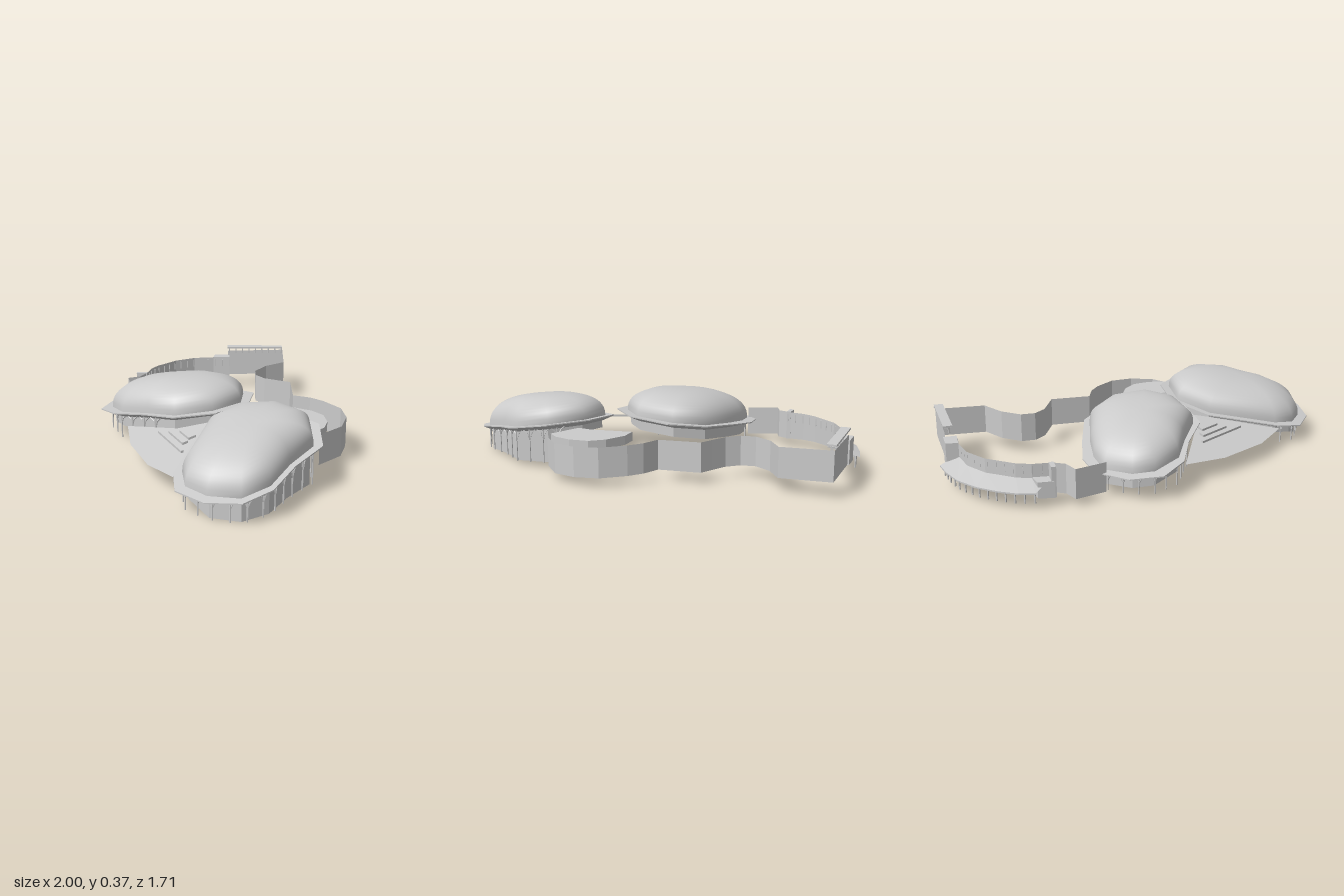
import * as THREE from 'three';

const smooth = new THREE.MeshStandardMaterial({ color: 0xcccccc, side: THREE.DoubleSide });
const flat = new THREE.MeshStandardMaterial({ color: 0xcccccc, side: THREE.DoubleSide, flatShading: true });

// Sloping ground and the two tilted eave planes
const ground = (x) => 0.003 + 0.045 * (x + 0.94);
const eaveA = (x) => 0.107 + 0.188 * (x + 1);
const eaveB = (x, z) => 0.228 + 0.14 * z;

function add(parent, name, geometry, material = flat) {
  const mesh = new THREE.Mesh(geometry, material);
  mesh.name = name;
  parent.add(mesh);
  return mesh;
}

// Skin a list of equally long loops of [x, y, z]
function loft(loops, closed = true) {
  const n = loops[0].length, index = [];
  for (let r = 0; r < loops.length - 1; r++) {
    for (let i = 0; i < (closed ? n : n - 1); i++) {
      const a = r * n + i, b = r * n + (i + 1) % n;
      index.push(a, a + n, b, b, a + n, b + n);
    }
  }
  const g = new THREE.BufferGeometry();
  g.setAttribute('position', new THREE.Float32BufferAttribute(loops.flat(2), 3));
  g.setIndex(index);
  g.computeVertexNormals();
  return g;
}

const lift = (pts, y) => pts.map(([x, z]) => [x, typeof y === 'function' ? y(x, z) : y, z]);

// Flat-sided vertical wall along a plan polyline
const wall = (pts, low, high, closed = false) => loft([lift(pts, high), lift(pts, low)], closed);

// Plan polygon turned into a sheet whose height follows a rule
function sheet(pts, y) {
  const g = new THREE.ShapeGeometry(new THREE.Shape(pts.map(([x, z]) => new THREE.Vector2(x, -z))));
  g.rotateX(-Math.PI / 2);
  const p = g.attributes.position;
  for (let i = 0; i < p.count; i++) p.setY(i, y(p.getX(i), p.getZ(i)));
  g.computeVertexNormals();
  return g;
}

function beam(parent, name, a, b, r, sides = 5) {
  const from = new THREE.Vector3(...a), to = new THREE.Vector3(...b);
  const dir = to.clone().sub(from);
  const mesh = add(parent, name, new THREE.CylinderGeometry(r, r, dir.length(), sides));
  mesh.position.copy(from).add(to).multiplyScalar(0.5);
  mesh.quaternion.setFromUnitVectors(new THREE.Vector3(0, 1, 0), dir.normalize());
}

// Evenly spaced plan points along a polyline
function spaced(pts, count, closed) {
  const path = new THREE.CurvePath();
  const ring = closed ? [...pts, pts[0]] : pts;
  for (let i = 0; i < ring.length - 1; i++)
    path.add(new THREE.LineCurve(new THREE.Vector2(...ring[i]), new THREE.Vector2(...ring[i + 1])));
  return Array.from({ length: count }, (_, i) => path.getPointAt(i / (closed ? count : count - 1)).toArray());
}

function inset(pts, k) {
  const n = pts.length;
  const cx = pts.reduce((s, p) => s + p[0], 0) / n, cz = pts.reduce((s, p) => s + p[1], 0) / n;
  return pts.map(([x, z]) => [cx + (x - cx) * k, cz + (z - cz) * k]);
}

// Domed hall: shell, flared eave, inner wall and arched colonnade on the open side
function hall(name, rim, base, eave, height, wallFoot, hasColumn) {
  const g = new THREE.Group();
  g.name = name;
  const rows = 14, loops = [], posts = 26;
  for (let r = 0; r <= rows; r++) {
    const t = (r / rows) * Math.PI / 2;
    const s = r === rows ? 0.001 : Math.cos(t) ** 0.83, h = height * Math.sin(t) ** 0.83;
    loops.push(inset(base, s).map(([x, z]) => [x, eave(x, z) + h, z]));
  }
  add(g, 'domeShell', loft(loops), smooth);
  const inner = inset(base, 0.95);
  const under = (x, z) => eave(x, z) - 0.03;
  add(g, 'eave', loft([lift(base, eave), lift(rim, eave), lift(rim, (x, z) => eave(x, z) - 0.006), lift(inner, under)]));
  add(g, 'hallWall', wall(inner, wallFoot, under, true));

  const feet = spaced(base, posts, true);
  feet.forEach(([x, z], i) => {
    if (!hasColumn(x, z)) return;
    const top = eave(x, z) - 0.018, low = ground(x);
    const spring = low + (top - low) * 0.6;
    beam(g, 'column', [x, low, z], [x, top, z], 0.004);
    for (const j of [i + 1, i + posts - 1]) {
      const [nx, nz] = feet[j % posts];
      const mx = (x + nx) / 2, mz = (z + nz) / 2;
      const qx = x * 0.7 + mx * 0.3, qz = z * 0.7 + mz * 0.3;
      const qy = spring + (top - spring) * 0.65;
      beam(g, 'archLower', [x, spring, z], [qx, qy, qz], 0.003, 4);
      beam(g, 'archUpper', [qx, qy, qz], [mx, eave(mx, mz) - 0.018, mz], 0.003, 4);
    }
  });
  return g;
}

export function createModel() {
  const model = new THREE.Group();

  // The two halls
  model.add(hall('frontHall',
    [[-0.98, 0.45], [-0.87, 0.35], [-0.48, 0.21], [-0.25, 0.27], [-0.13, 0.48], [-0.18, 0.72],
      [-0.36, 0.85], [-0.57, 0.83], [-0.78, 0.85], [-0.93, 0.79], [-1, 0.63]],
    [[-0.93, 0.47], [-0.84, 0.38], [-0.48, 0.25], [-0.28, 0.31], [-0.18, 0.49], [-0.22, 0.69],
      [-0.38, 0.81], [-0.57, 0.8], [-0.76, 0.82], [-0.9, 0.76], [-0.95, 0.61]],
    eaveA, 0.165, (x, z) => (z > 0.58 ? ground(x) : eaveA(x) - 0.07), (x, z) => z > 0.58 || x < -0.82));
  model.add(hall('backHall',
    [[-0.41, -0.56], [-0.25, -0.63], [-0.06, -0.6], [0.04, -0.49], [0.1, -0.32], [0.165, -0.09],
      [0.1, 0.13], [-0.11, 0.245], [-0.34, 0.2], [-0.47, 0.02], [-0.455, -0.2], [-0.475, -0.4]],
    [[-0.355, -0.525], [-0.25, -0.575], [-0.1, -0.565], [-0.01, -0.46], [0.055, -0.32], [0.13, -0.1],
      [0.07, 0.08], [-0.115, 0.195], [-0.305, 0.15], [-0.435, 0], [-0.43, -0.19], [-0.44, -0.37]],
    eaveB, 0.163, (x, z) => 0.145 + 0.15 * z, (x, z) => x + z < -0.55));

  // Sloping roof between the halls, with long skylights
  const link = (x, z) => 0.1 + 0.25 * (0.853 * x + 0.523 * z + 0.614);
  add(model, 'linkRoof', sheet([[-0.87, 0.35], [-0.8, 0.13], [-0.64, -0.13], [-0.465, -0.31],
    [-0.44, 0.02], [-0.33, 0.19], [-0.48, 0.24]], link));
  for (const [x, z, w, l] of [[-0.58, 0.09, 0.012, 0.33], [-0.53, 0.1, 0.03, 0.2], [-0.49, 0.13, 0.04, 0.13]]) {
    const ax = 0.49 * l / 2, az = -0.87 * l / 2, bx = 0.87 * w / 2, bz = 0.49 * w / 2;
    const plan = [[x + ax + bx, z + az + bz], [x - ax + bx, z - az + bz], [x - ax - bx, z - az - bz], [x + ax - bx, z + az - bz]];
    const top = (px, pz) => link(px, pz) + 0.012;
    add(model, 'skylightSides', wall(plan, link, top, true));
    add(model, 'skylightTop', sheet(plan, top));
  }

  // Rounded terrace beside the front hall
  const terrace = [[-0.2, 0.52], [-0.13, 0.48], [0.035, 0.315], [0.085, 0.39], [0.097, 0.51],
    [0.07, 0.6], [-0.01, 0.67], [-0.1, 0.705], [-0.17, 0.7]];
  add(model, 'terrace', sheet(terrace, () => 0.215));
  add(model, 'terraceSkirt', wall(terrace.slice(1), 0.165, 0.215));

  // Winding yard wall, then the short wall behind the back hall
  const top = (x) => ground(x) + 0.162;
  add(model, 'yardWall', wall([[-0.17, 0.72], [-0.01, 0.755], [0.12, 0.71], [0.22, 0.62], [0.27, 0.48],
    [0.28, 0.39], [0.26, 0.29], [0.45, 0.15], [0.44, 0.07], [0.43, -0.02], [0.455, -0.1], [0.52, -0.15],
    [0.64, -0.15], [0.765, -0.1], [0.995, -0.26], [0.785, -0.555]], ground, top));
  add(model, 'rearWall', wall([[0.13, -0.695], [0.06, -0.685], [-0.005, -0.727], [-0.12, -0.59]], ground, top));

  // Pergola on the corner wall
  const pergola = new THREE.Group();
  pergola.name = 'pergola';
  const slab = add(pergola, 'pergolaRoof', new THREE.BoxGeometry(0.36, 0.01, 0.05));
  slab.position.set(0.873, 0.275, -0.4);
  slab.rotation.y = -Math.atan2(0.295, 0.21);
  for (let i = 0; i < 9; i++) {
    const k = i / 8, x = 0.77 + 0.205 * k, z = -0.53 + 0.275 * k;
    beam(pergola, 'pergolaPost', [x, 0.235, z], [x, 0.272, z], 0.005, 4);
    beam(pergola, 'pergolaRafter', [x - 0.015, 0.266, z + 0.011], [x + 0.022, 0.266, z - 0.016], 0.004, 4);
  }
  model.add(pergola);

  // Curved arcade at the back: wall, sloping canopy and posts
  const inner = [[0.13, -0.695], [0.22, -0.74], [0.3, -0.755], [0.47, -0.743], [0.595, -0.69], [0.685, -0.6], [0.74, -0.51]];
  const outer = [[0.165, -0.83], [0.245, -0.855], [0.35, -0.86], [0.475, -0.845], [0.6, -0.8], [0.7, -0.727], [0.77, -0.657]];
  const roofIn = lift(inner.slice(0, 6).concat([[0.71, -0.565]]), 0.135), roofOut = lift(outer, 0.1);
  add(model, 'arcadeWall', wall(inner, ground, 0.212));
  add(model, 'arcadeRoof', loft([roofIn, roofOut, roofOut.map(([x, y, z]) => [x, y - 0.008, z])], false));
  spaced(outer, 14, false).forEach(([x, z]) => {
    const px = x + (0.36 - x) * 0.05, pz = z + 0.012;
    beam(model, 'arcadePost', [px, 0.04, pz], [px, 0.103, pz], 0.005);
  });
  spaced(inner, 16, false).forEach(([x, z]) =>
    beam(model, 'wallPost', [x, 0.155, z + 0.003], [x, 0.2, z + 0.003], 0.004, 4));

  // Bays closing the two ends of the arcade, and the gate pier
  for (const [plan, height] of [
    [[[0.095, -0.75], [0.13, -0.695], [0.22, -0.74], [0.17, -0.79]], 0.14],
    [[[0.745, -0.63], [0.8, -0.55], [0.74, -0.51], [0.685, -0.6]], 0.215]]) {
    add(model, 'endBayRoof', sheet(plan, () => height));
    add(model, 'endBayWalls', wall(plan, ground, height, true));
  }
  const pier = add(model, 'gatePier', new THREE.BoxGeometry(0.025, 0.165, 0.065));
  pier.position.set(0.117, 0.133, -0.722);
  pier.rotation.y = Math.atan2(0.035, 0.055);
  return model;
}
